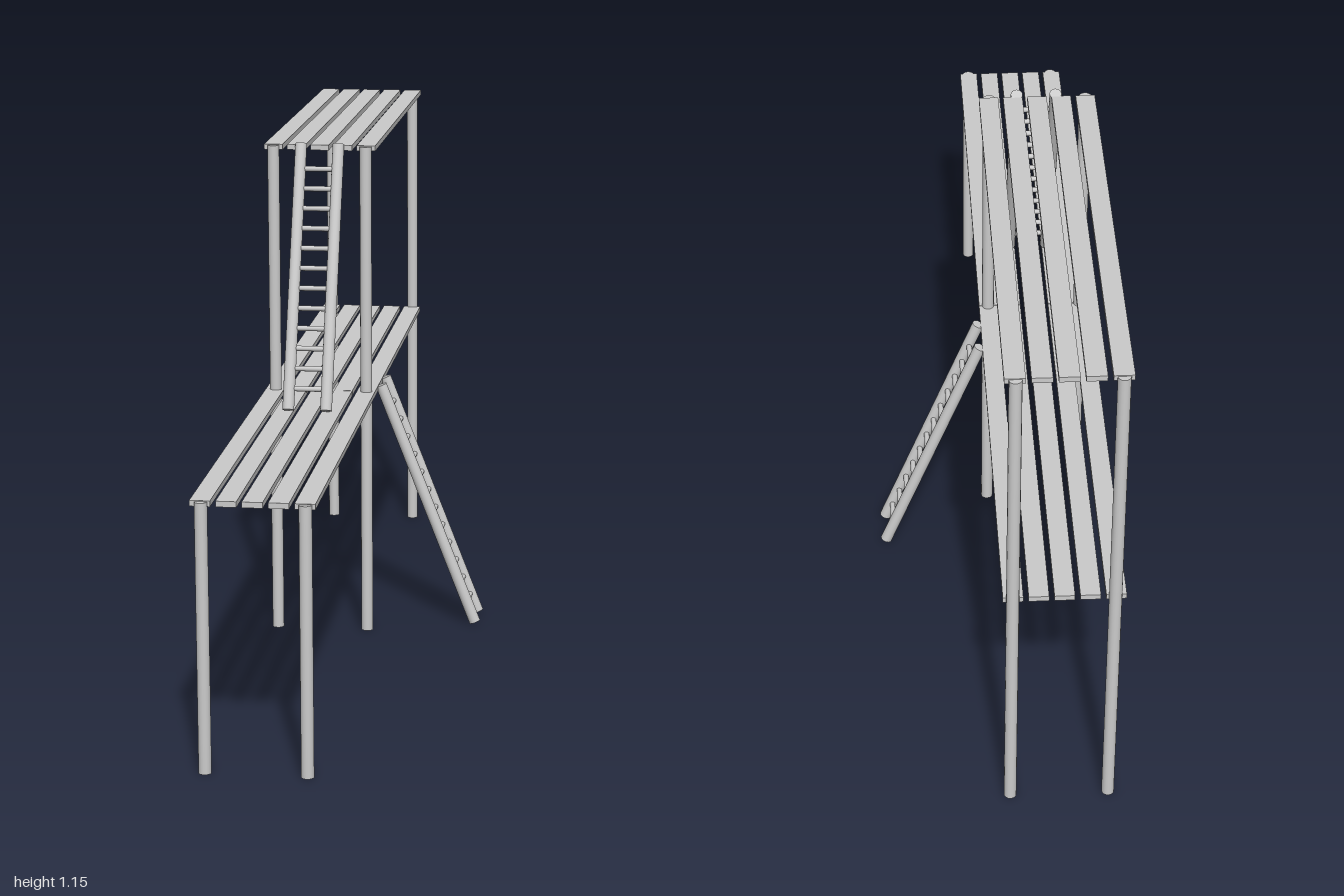
import * as THREE from 'three';

const material = new THREE.MeshStandardMaterial({ color: 0xcccccc });
const UP = new THREE.Vector3(0, 1, 0);

// Round pole between two points
function pole(name, from, to, radius, sides = 16) {
  const a = new THREE.Vector3(...from), b = new THREE.Vector3(...to);
  const dir = b.clone().sub(a);
  const mesh = new THREE.Mesh(new THREE.CylinderGeometry(radius, radius, dir.length(), sides), material);
  mesh.name = name;
  mesh.position.copy(a).add(b).multiplyScalar(0.5);
  mesh.quaternion.setFromUnitVectors(UP, dir.normalize());
  return mesh;
}

// Ladder with its foot at the origin, leaning back toward -z
function ladder(name) {
  const group = new THREE.Group();
  group.name = name;
  const rise = 0.565, run = 0.222, half = 0.0425;
  for (const x of [-half, half]) {
    group.add(pole('ladderRail', [x, 0, 0], [x, rise, -run], 0.0132));
  }
  for (let i = 0; i < 12; i++) {
    const y = 0.045 + i * 0.0424;
    const z = -run * y / rise;
    group.add(pole('ladderRung', [-half, y, z], [half, y, z], 0.006, 12));
  }
  return group;
}

// Five parallel planks with gaps, running from z0 to z1
function deck(name, top, z0, z1) {
  const group = new THREE.Group();
  group.name = name;
  const thickness = 0.012;
  for (let i = 0; i < 5; i++) {
    const plank = new THREE.Mesh(new THREE.BoxGeometry(0.042, thickness, z1 - z0), material);
    plank.name = 'plank';
    plank.position.set(-0.226 + i * 0.0528, top - thickness / 2, (z0 + z1) / 2);
    group.add(plank);
  }
  return group;
}

export function createModel() {
  const model = new THREE.Group();
  model.name = 'scaffold';

  const lowTop = 0.571, highTop = 1.139, end = 0.985;

  // Walkways
  model.add(deck('lowerFrontDeck', lowTop, 0.001, end));
  model.add(deck('lowerBackDeck', lowTop, -end, -0.001));
  model.add(deck('upperDeck', highTop, -end, 0));

  // Posts: a lower row of six, an upper row of four
  for (const x of [-0.224, -0.014]) {
    for (const z of [-end, 0, end]) {
      model.add(pole('lowerPost', [x + 0.002, 0, z], [x, lowTop - 0.002, z], 0.0135));
      if (z < end) model.add(pole('upperPost', [x, lowTop - 0.002, z], [x - 0.002, highTop - 0.002, z], 0.0135));
    }
  }

  // Ladder from the lower walkway up to the upper one
  const upperLadder = ladder('upperLadder');
  upperLadder.position.set(-0.119, 0.577, 0.227);
  model.add(upperLadder);

  // Ladder from the ground up to the side of the lower walkway
  const lowerLadder = ladder('lowerLadder');
  lowerLadder.position.set(0.234, 0.006, -0.112);
  lowerLadder.rotation.y = Math.PI / 2;
  model.add(lowerLadder);

  return model;
}
